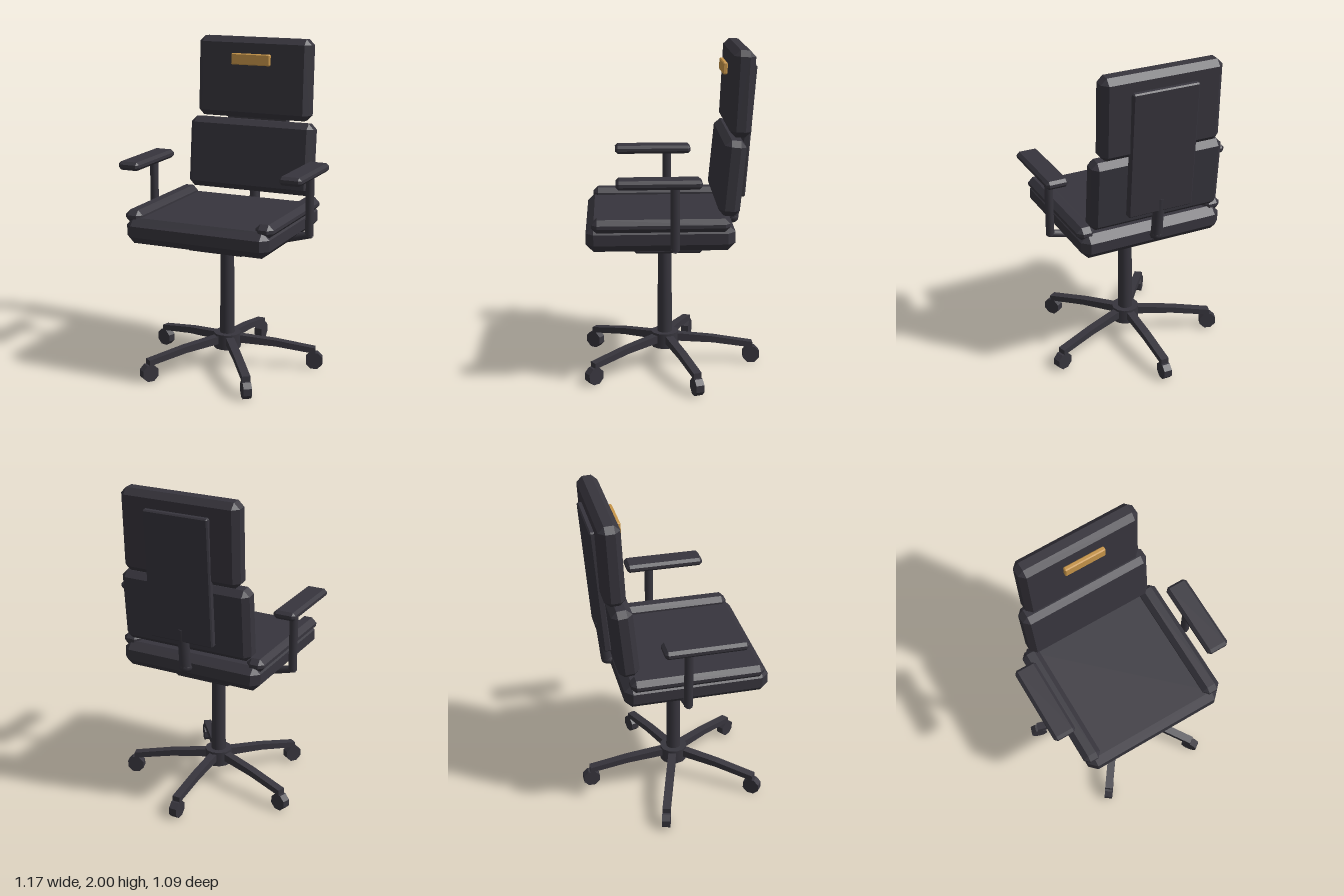
import * as THREE from 'three';
import { ConvexGeometry } from 'three/addons/geometries/ConvexGeometry.js';

const black = new THREE.MeshStandardMaterial({ color: 0x37353d });
black.name = 'charcoal';
const gold = new THREE.MeshStandardMaterial({ color: 0xc8964a });
gold.name = 'brass';

// Box with every edge and corner cut by a flat chamfer
function chamferBox(w, h, d, c) {
  const pts = [];
  for (const sx of [-1, 1]) for (const sy of [-1, 1]) for (const sz of [-1, 1]) {
    for (let full = 0; full < 3; full++) {
      const cut = [0, 1, 2].map((axis) => (axis === full ? 0 : c));
      pts.push(new THREE.Vector3(sx * (w / 2 - cut[0]), sy * (h / 2 - cut[1]), sz * (d / 2 - cut[2])));
    }
  }
  return new ConvexGeometry(pts);
}

function add(parent, name, geometry, position, material = black) {
  const mesh = new THREE.Mesh(geometry, material);
  mesh.name = name;
  mesh.position.set(...position);
  parent.add(mesh);
  return mesh;
}

// Straight round bar between two points
function rod(parent, name, a, b, radius, sides = 8) {
  const from = new THREE.Vector3(...a), to = new THREE.Vector3(...b);
  const dir = to.clone().sub(from);
  const mesh = add(parent, name, new THREE.CylinderGeometry(radius, radius, dir.length(), sides),
    from.clone().add(to).multiplyScalar(0.5).toArray());
  mesh.quaternion.setFromUnitVectors(new THREE.Vector3(0, 1, 0), dir.normalize());
  return mesh;
}

export function createModel() {
  const chair = new THREE.Group();
  chair.name = 'officeChair';

  // Five-star base, one leg pointing straight back
  const base = new THREE.Group();
  base.name = 'base';
  base.position.z = 0.05;
  chair.add(base);
  add(base, 'hub', new THREE.CylinderGeometry(0.085, 0.085, 0.095, 12), [0, 0.168, 0]);
  add(base, 'column', new THREE.CylinderGeometry(0.041, 0.046, 0.6, 16), [0, 0.49, 0]);
  const profile = new THREE.Shape([
    [0.05, 0.155], [0.3, 0.137], [0.55, 0.098], [0.55, 0.134], [0.3, 0.177], [0.05, 0.205],
  ].map(([r, y]) => new THREE.Vector2(r, y)));
  const legGeometry = new THREE.ExtrudeGeometry(profile, { depth: 0.05, bevelEnabled: false });
  legGeometry.translate(0, 0, -0.025);
  const wheelGeometry = new THREE.CylinderGeometry(0.055, 0.055, 0.05, 8).toNonIndexed();
  wheelGeometry.rotateY(Math.PI / 8).rotateX(Math.PI / 2);
  wheelGeometry.computeVertexNormals();
  for (let i = 0; i < 5; i++) {
    const leg = new THREE.Group();
    leg.name = 'leg';
    leg.rotation.y = Math.PI / 2 + (i * Math.PI * 2) / 5;
    base.add(leg);
    add(leg, 'legBeam', legGeometry, [0, 0, 0]);
    add(leg, 'casterStem', new THREE.CylinderGeometry(0.015, 0.015, 0.06, 8), [0.535, 0.085, 0]);
    add(leg, 'casterWheel', wheelGeometry, [0.543, 0.051, 0]);
  }

  // Seat with raised side bolsters
  add(chair, 'tiltMechanism', chamferBox(0.37, 0.1, 0.41, 0.014), [0, 0.816, 0.035]);
  add(chair, 'seatCushion', chamferBox(0.91, 0.155, 0.868, 0.045), [0, 0.928, 0.09]);

  // Bolster and armrest on each side
  for (const s of [-1, 1]) {
    add(chair, 'seatBolster', chamferBox(0.112, 0.08, 0.8, 0.03), [s * 0.416, 1.007, 0.09]);
    add(chair, 'armPad', chamferBox(0.138, 0.052, 0.488, 0.017), [s * 0.518, 1.276, 0.105]);
    rod(chair, 'armPost', [s * 0.518, 0.88, 0.012], [s * 0.518, 1.26, 0.012], 0.027);
    rod(chair, 'armBracket', [s * 0.53, 0.892, 0.012], [s * 0.36, 0.845, 0.012], 0.024);
  }

  // Backrest: two cushions, a rear shell and its bent support
  const lower = add(chair, 'lowerBackCushion', chamferBox(0.83, 0.445, 0.125, 0.035), [0, 1.268, -0.325]);
  lower.rotation.x = -0.095;
  const upper = add(chair, 'upperBackCushion', chamferBox(0.75, 0.5, 0.125, 0.035), [0, 1.75, -0.382]);
  upper.rotation.x = -0.05;
  const shell = add(chair, 'backShell', chamferBox(0.412, 0.785, 0.045, 0.008), [0, 1.51, -0.427]);
  shell.rotation.x = -0.08;
  rod(chair, 'backSupportLower', [0, 0.84, -0.12], [0, 0.945, -0.368], 0.033);
  rod(chair, 'backSupportUpper', [0, 0.945, -0.368], [0, 1.2, -0.395], 0.035);
  add(chair, 'supportElbow', new THREE.SphereGeometry(0.036, 10, 8), [0, 0.945, -0.368]);

  // Headrest plate
  const plate = add(chair, 'headrestPlate', chamferBox(0.257, 0.07, 0.028, 0.006), [0, 1.87, -0.301], gold);
  plate.rotation.x = -0.05;

  return chair;
}
